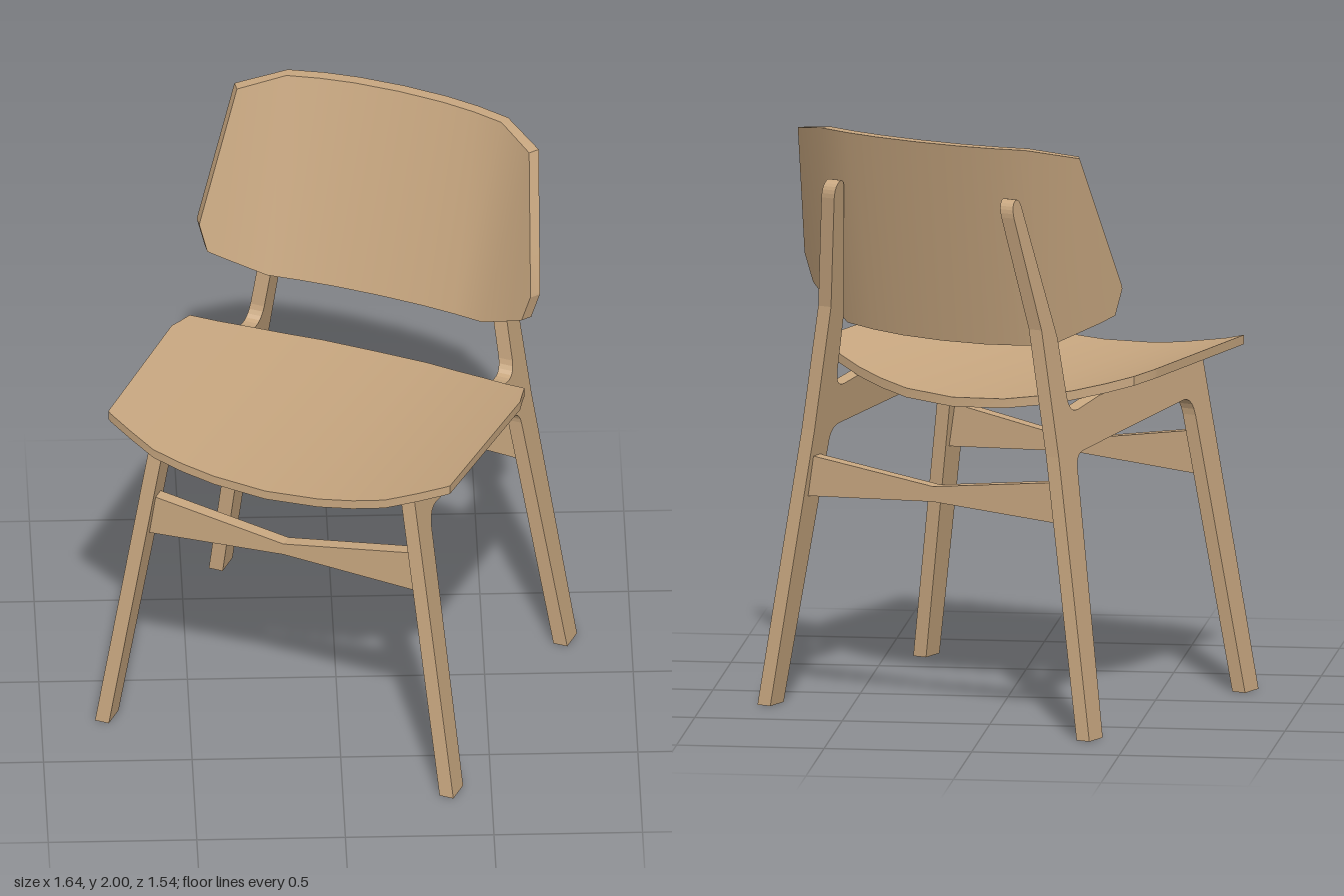
import * as THREE from 'three';
import { toCreasedNormals } from 'three/addons/utils/BufferGeometryUtils.js';

const wood = new THREE.MeshStandardMaterial({ color: 0xc8a780 });
wood.name = 'wood';

function addMesh(parent, name, geometry) {
  const mesh = new THREE.Mesh(geometry, wood);
  mesh.name = name;
  parent.add(mesh);
  return mesh;
}

// Mirrors half columns [x, low, high] and lofts a four-cornered section through them.
function bentPanel(half, section) {
  const left = half.slice(1).reverse().map(([x, lo, hi]) => [-x, lo, hi]);
  const columns = [...left, ...half];
  const positions = columns.flatMap((c) => section(...c).flat());
  const index = [];
  for (let i = 0; i < columns.length - 1; i++) {
    for (let k = 0; k < 4; k++) {
      const a = i * 4 + k, b = i * 4 + (k + 1) % 4;
      index.push(a, b, a + 4, b, b + 4, a + 4);
    }
  }
  const e = (columns.length - 1) * 4;
  index.push(0, 2, 1, 0, 3, 2, e, e + 1, e + 2, e, e + 2, e + 3);
  const g = new THREE.BufferGeometry();
  g.setAttribute('position', new THREE.Float32BufferAttribute(positions, 3));
  g.setIndex(index);
  return toCreasedNormals(g, 0.35);
}

// Side frame: front leg, rail and back leg cut from one board that leans inwards.
function sideFrame(side) {
  const s = new THREE.Shape();
  s.moveTo(0.555, 0);
  s.lineTo(0.48, 1.145);
  s.lineTo(-0.2, 1.112);
  s.lineTo(-0.35, 1.088);
  s.quadraticCurveTo(-0.4, 1.082, -0.408, 1.135);
  s.lineTo(-0.418, 1.34);
  s.lineTo(-0.535, 1.8);
  s.quadraticCurveTo(-0.548, 1.84, -0.575, 1.825);
  s.quadraticCurveTo(-0.598, 1.81, -0.592, 1.77);
  s.lineTo(-0.512, 1.38);
  s.lineTo(-0.51, 0.95);
  s.lineTo(-0.555, 0);
  s.lineTo(-0.467, 0);
  s.lineTo(-0.4, 0.9);
  s.quadraticCurveTo(-0.395, 0.945, -0.35, 0.95);
  s.lineTo(0.33, 1.012);
  s.quadraticCurveTo(0.38, 1.01, 0.387, 0.95);
  s.lineTo(0.467, 0);
  s.closePath();
  const g = new THREE.ExtrudeGeometry(s, { depth: 0.05, bevelEnabled: false, curveSegments: 5 });
  const p = g.attributes.position;
  for (let i = 0; i < p.count; i++) {
    const z = p.getX(i), y = p.getY(i), d = p.getZ(i) - 0.025;
    p.setXYZ(i, side * (0.625 - 0.154 * y) - d, y, z);
  }
  g.computeVertexNormals();
  return g;
}

// Stretcher: a board with a narrow waist between two legs.
function stretcher(low, high, waistLow, waistHigh) {
  const s = new THREE.Shape([
    [-0.5, low], [0, waistLow], [0.5, low], [0.477, high], [0, waistHigh], [-0.477, high],
  ].map(([x, y]) => new THREE.Vector2(x, y)));
  return new THREE.ExtrudeGeometry(s, { depth: 0.045, bevelEnabled: false }).translate(0, 0, -0.0225);
}

export function createModel() {
  const model = new THREE.Group();
  model.name = 'chair';
  const chair = new THREE.Group();
  chair.name = 'turnedChair';
  chair.rotation.y = -0.4157;
  model.add(chair);

  addMesh(chair, 'leftSideFrame', sideFrame(1));
  addMesh(chair, 'rightSideFrame', sideFrame(-1));
  addMesh(chair, 'frontStretcher', stretcher(0.74, 0.89, 0.77, 0.812)).position.z = 0.45;
  addMesh(chair, 'backStretcher', stretcher(0.72, 0.86, 0.748, 0.8)).position.z = -0.47;

  // Seat: thin sheet dished across its width, columns are [x, back z, front z]
  const seatColumns = [
    [0, -0.363, 0.636], [0.19, -0.347, 0.628], [0.31, -0.313, 0.617], [0.42, -0.275, 0.602],
    [0.52, -0.23, 0.557], [0.607, -0.19, 0.518], [0.62, -0.135, 0.51], [0.632, -0.09, -0.08],
  ];
  const seatY = (x, z) => 1.098 + 0.036 * z + 0.26 * x * x;
  addMesh(chair, 'seat', bentPanel(seatColumns, (x, back, front) => [
    [x, seatY(x, back), back], [x, seatY(x, front), front],
    [x, seatY(x, front) - 0.032, front], [x, seatY(x, back) - 0.032, back],
  ]));

  // Backrest: leaning panel wrapped forwards at the sides, columns are [x, bottom y, top y]
  const backColumns = [
    [0, 1.29, 2], [0.16, 1.292, 2], [0.28, 1.297, 2], [0.39, 1.305, 2],
    [0.53, 1.385, 1.97], [0.57, 1.41, 1.71], [0.6, 1.505, 1.515],
  ];
  const wrap = [0, 0.007, 0.024, 0.05, 0.14, 0.167, 0.187];
  const backZ = (x, y) => {
    const i = backColumns.findIndex((c) => c[0] === Math.abs(x));
    return -0.395 - 0.25 * (y - 1.3) + wrap[i];
  };
  addMesh(chair, 'backrest', bentPanel(backColumns, (x, lo, hi) => {
    // thickness follows the bend towards the sides
    const bend = Math.min(1, Math.max(0, (Math.abs(x) - 0.28) / 0.25));
    const dx = Math.sign(x) * 0.022 * bend, dz = 0.04 - 0.008 * bend;
    return [
      [x + dx, lo, backZ(x, lo) - dz], [x + dx, hi, backZ(x, hi) - dz],
      [x, hi, backZ(x, hi)], [x, lo, backZ(x, lo)],
    ];
  }));

  return model;
}
